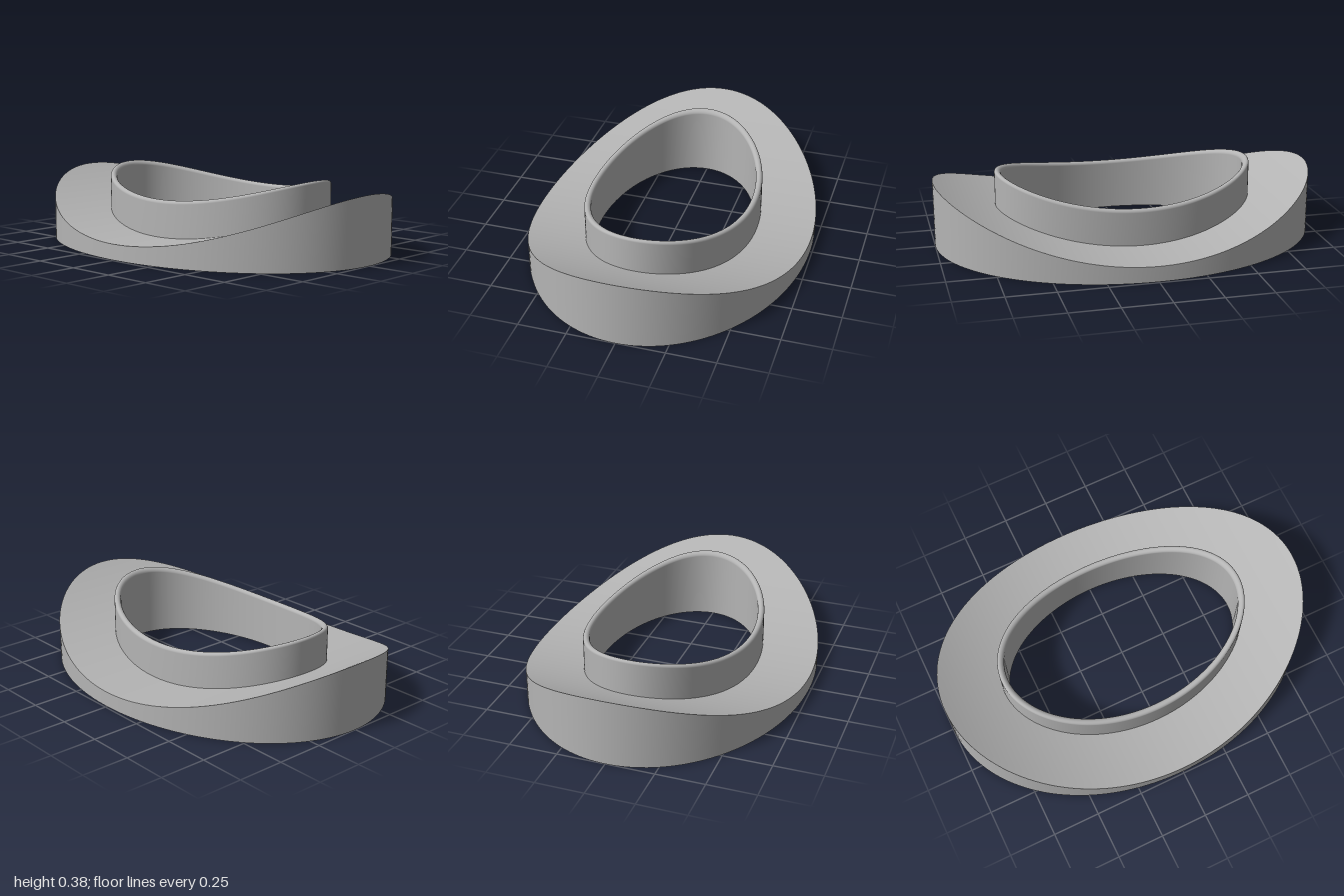
import * as THREE from 'three';

const SEGMENTS = 160;

// Height of the saddle: an arc along x, lowest in the middle
const R = 2.02;
const saddle = (x) => 0.08 + R - Math.sqrt(R * R - x * x);

// Sweeps a strip around the ellipse; each profile point is
// { a, b: half axes, y: function of x giving the height }
function ring(name, profile, material) {
  const pos = [], index = [];
  const n = profile.length;
  for (let i = 0; i < SEGMENTS; i++) {
    const t = (i / SEGMENTS) * Math.PI * 2;
    for (const p of profile) {
      const x = p.a * Math.cos(t);
      pos.push(x, p.y(x), p.b * Math.sin(t));
    }
  }
  for (let i = 0; i < SEGMENTS; i++) {
    const k = ((i + 1) % SEGMENTS) * n;
    for (let j = 0; j < n - 1; j++) {
      const p = i * n + j, q = k + j;
      index.push(p, p + 1, q, p + 1, q + 1, q);
    }
  }
  const geometry = new THREE.BufferGeometry();
  geometry.setAttribute('position', new THREE.Float32BufferAttribute(pos, 3));
  geometry.setIndex(index);
  geometry.computeVertexNormals();
  const mesh = new THREE.Mesh(geometry, material);
  mesh.name = name;
  return mesh;
}

export function createModel() {
  const grey = new THREE.MeshStandardMaterial({ color: 0xb4b4b4 });
  grey.name = 'plain grey';

  const floor = () => 0;
  const outer = { a: 1, b: 0.74 };
  const collarOut = { a: 0.68, b: 0.445 };
  const collarIn = { a: 0.645, b: 0.41 };

  // Saddle face, stepped inward so that it follows the arc
  const face = [];
  for (let i = 0; i <= 10; i++) {
    const f = i / 10;
    face.push({
      a: THREE.MathUtils.lerp(outer.a, collarOut.a, f),
      b: THREE.MathUtils.lerp(outer.b, collarOut.b, f),
      y: saddle,
    });
  }

  // Collar: outer wall, half-round lip, bore down to the floor
  const collar = [{ ...collarOut, y: saddle }];
  const r = 0.0175;
  for (let i = 0; i <= 10; i++) {
    const t = (i / 10) * Math.PI;
    const inset = r * (1 - Math.cos(t));
    collar.push({
      a: collarOut.a - inset,
      b: collarOut.b - inset,
      y: (x) => saddle(x) + 0.19 - r + r * Math.sin(t),
    });
  }
  collar.push({ ...collarIn, y: floor });

  const group = new THREE.Group();
  group.name = 'saddleRing';
  group.add(
    ring('outerWall', [{ ...outer, y: floor }, { ...outer, y: saddle }], grey),
    ring('saddleFace', face, grey),
    ring('collar', collar, grey),
    ring('underside', [{ ...collarIn, y: floor }, { ...outer, y: floor }], grey),
  );
  return group;
}
